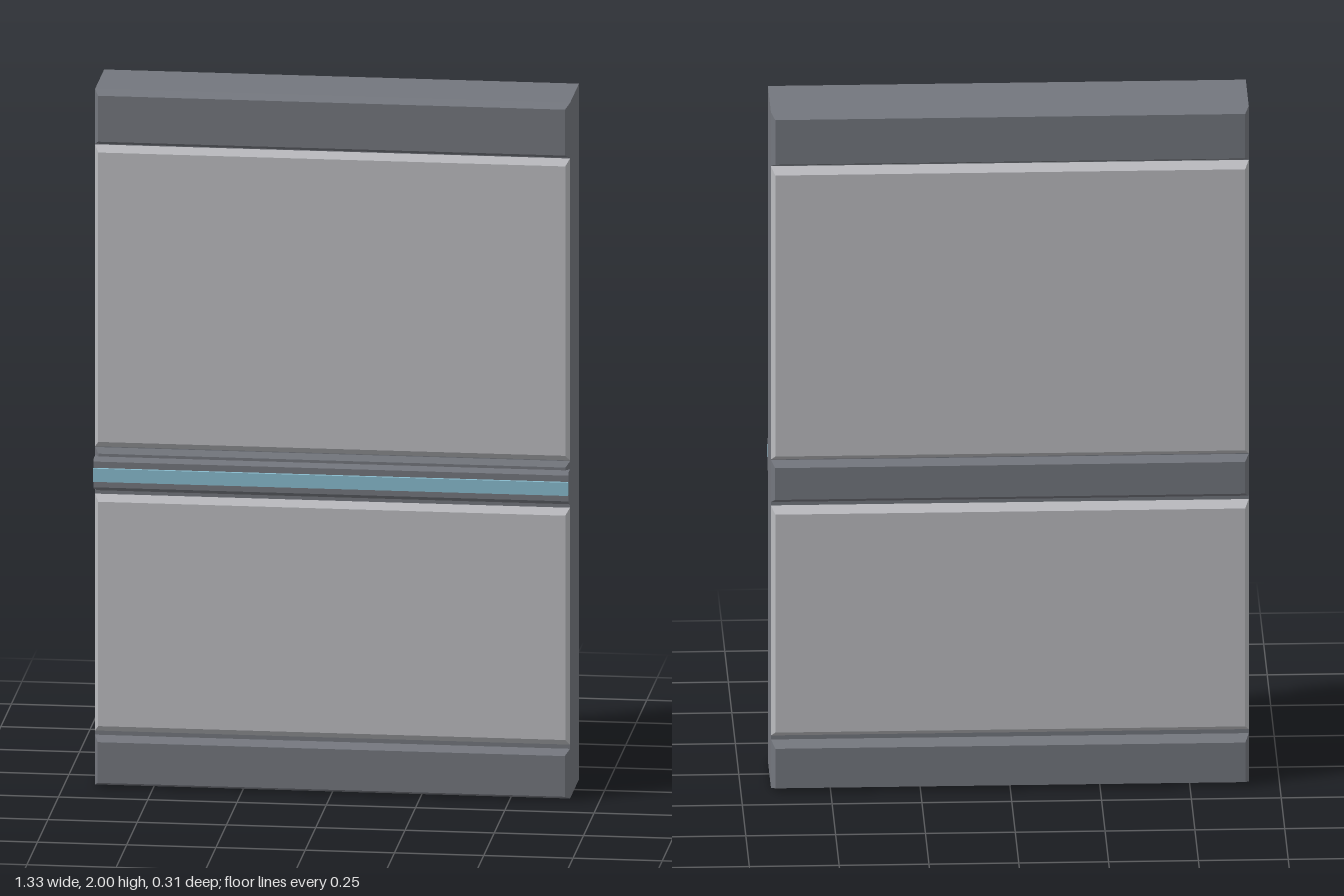
import * as THREE from 'three';

const frame = new THREE.MeshStandardMaterial({ name: 'dark grey frame', color: 0x73767d });
const panel = new THREE.MeshStandardMaterial({ name: 'light grey panel', color: 0xbabbbf });
const glow = new THREE.MeshStandardMaterial({ name: 'pale blue light', color: 0x88bbcd });

const HALF = 0.665;
const FRONT = 0.10;
const BACK = -0.113;

// A slab from y0 to y1 and z0 to z1 whose outer face (at z1) is inset by ix and iy.
function bevelSlab(name, material, y0, y1, z0, z1, ix, iy) {
  const geo = new THREE.BoxGeometry(2 * HALF, y1 - y0, Math.abs(z1 - z0));
  geo.translate(0, (y0 + y1) / 2, (z0 + z1) / 2);
  const p = geo.attributes.position;
  const mid = (y0 + y1) / 2;
  for (let i = 0; i < p.count; i++) {
    if (Math.abs(p.getZ(i) - z1) > 1e-5) continue;
    p.setX(i, p.getX(i) - Math.sign(p.getX(i)) * ix);
    p.setY(i, p.getY(i) - Math.sign(p.getY(i) - mid) * iy);
  }
  geo.computeVertexNormals();
  const mesh = new THREE.Mesh(geo, material);
  mesh.name = name;
  return mesh;
}

export function createModel() {
  const group = new THREE.Group();
  group.name = 'wallSegment';

  // Solid core
  const core = new THREE.Mesh(new THREE.BoxGeometry(2 * HALF, 2, FRONT - BACK), frame);
  core.position.set(0, 1, (FRONT + BACK) / 2);
  core.name = 'core';
  group.add(core);

  // Raised bands and panels: name, material, y0, y1, front z, back z, bevel height
  const parts = [
    ['topBand', frame, 1.842, 2, 0.127, -0.143, 0.013],
    ['upperPanel', panel, 0.972, 1.84, 0.12, -0.14, 0.018],
    ['middleBand', frame, 0.846, 0.97, 0.115, -0.138, 0.015],
    ['lowerPanel', panel, 0.155, 0.836, 0.12, -0.14, 0.018],
    ['bottomBand', frame, 0, 0.143, 0.132, -0.154, 0.013],
  ];
  for (const [name, mat, y0, y1, zf, zb, iy] of parts) {
    group.add(bevelSlab(name + 'Front', mat, y0, y1, FRONT, zf, 0.011, iy));
    group.add(bevelSlab(name + 'Back', mat, y0, y1, BACK, zb, 0.011, iy));
  }

  // Light rail on the front
  group.add(bevelSlab('railBase', frame, 0.857, 0.947, FRONT, 0.13, 0, 0));
  group.add(bevelSlab('railFace', frame, 0.857, 0.947, 0.13, 0.142, 0, 0.008));
  group.add(bevelSlab('lightStrip', glow, 0.883, 0.921, 0.142, 0.151, 0, 0));

  return group;
}
